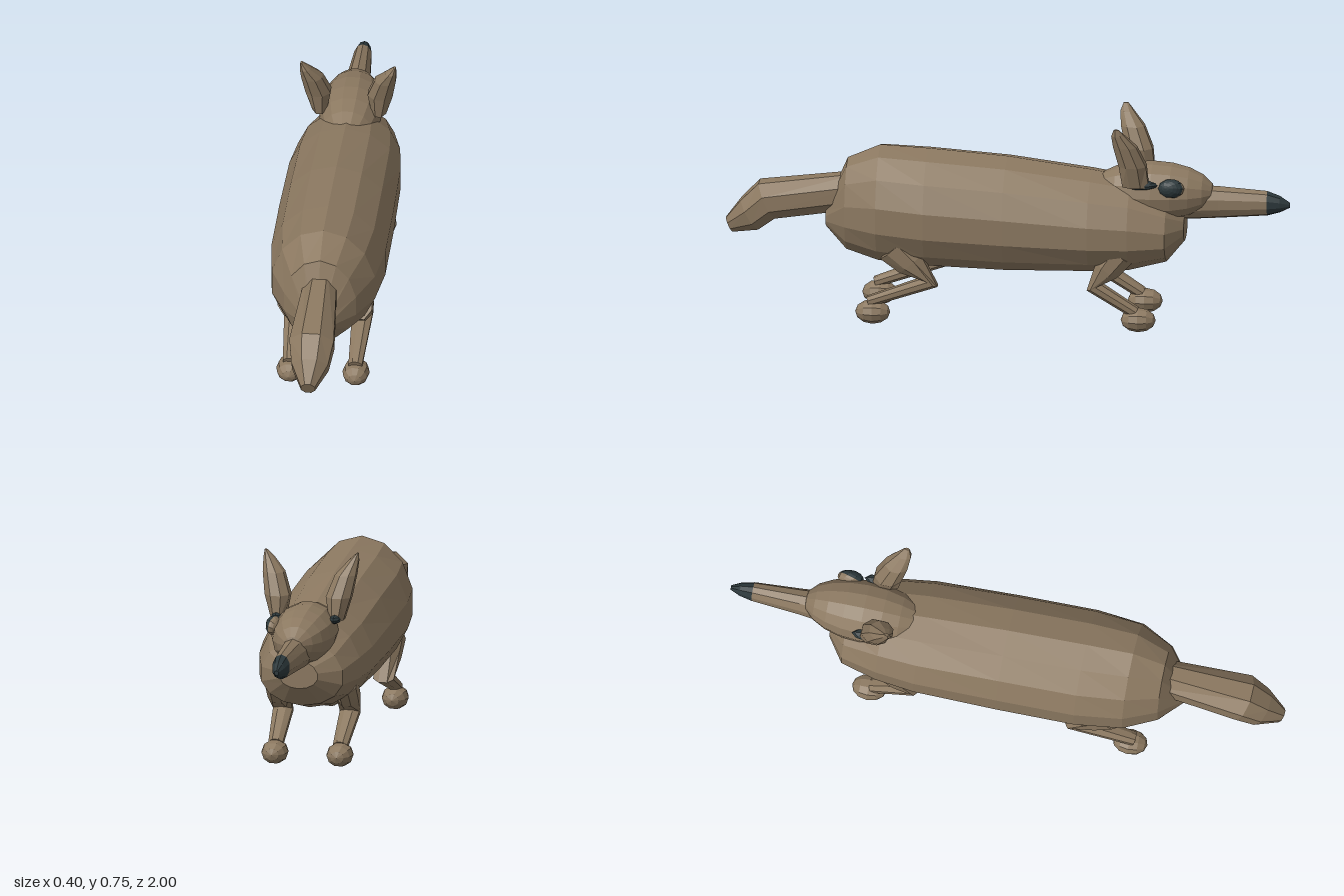
import * as THREE from 'three';

const flat = (name, color) => new THREE.MeshStandardMaterial({ name, color, flatShading: true });

// Skin over elliptical rings [x, y, z, halfWidth, halfHeight, tilt]; tilt swings the height axis from +y to +z.
// low < 1 makes the lower half shallower than the upper half.
function loft(rings, n, mirror = 1, low = 1) {
  const pos = [], idx = [];
  for (const [x, y, z, w, h, a = 0] of rings) {
    for (let i = 0; i < n; i++) {
      const t = ((i + 0.5) / n) * Math.PI * 2;
      let s = Math.sin(t);
      const k = s < 0 ? s * low : s * (2 - low);
      pos.push(mirror * (x + w * Math.cos(t)), y + h * k * Math.cos(a), z + h * k * Math.sin(a));
    }
  }
  const last = rings.length - 1, c0 = pos.length / 3;
  for (const [x, y, z] of [rings[0], rings[last]]) pos.push(mirror * x, y, z);
  for (let i = 0; i < n; i++) {
    const j = (i + 1) % n;
    for (let r = 0; r < last; r++) {
      const a = r * n + i, b = r * n + j;
      idx.push(a, b, a + n, b, b + n, a + n);
    }
    idx.push(c0, j, i, c0 + 1, last * n + i, last * n + j);
  }
  // Turn the faces outward by the sign of the enclosed volume
  const p = k => new THREE.Vector3().fromArray(pos, k * 3);
  let vol = 0;
  for (let i = 0; i < idx.length; i += 3) vol += p(idx[i]).dot(p(idx[i + 1]).cross(p(idx[i + 2])));
  if (vol < 0) idx.reverse();
  const g = new THREE.BufferGeometry();
  g.setAttribute('position', new THREE.Float32BufferAttribute(pos, 3));
  g.setIndex(idx);
  const out = g.toNonIndexed();
  out.computeVertexNormals();
  return out;
}

export function createModel() {
  const group = new THREE.Group();
  const fur = flat('fur brown', 0x8b7860);
  const dark = flat('dark slate', 0x2c383b);

  const add = (name, geo, mat, at, size) => {
    const m = new THREE.Mesh(geo, mat);
    m.name = name;
    if (at) m.position.set(...at);
    if (size) m.scale.set(...size);
    group.add(m);
    return m;
  };
  const ball = (w = 10, h = 8) => new THREE.SphereGeometry(1, w, h);

  // Body: z, bottom, top, half width
  const body = [
    [0.64, 0.32, 0.40, 0.045], [0.565, 0.24, 0.57, 0.13], [0.45, 0.207, 0.62, 0.187],
    [0.28, 0.195, 0.612, 0.207], [0, 0.188, 0.592, 0.207], [-0.3, 0.195, 0.553, 0.202],
    [-0.44, 0.203, 0.53, 0.185], [-0.57, 0.237, 0.47, 0.15], [-0.63, 0.31, 0.41, 0.07],
  ];
  add('body', loft(body.map(([z, b, t, w]) =>
    [0, b + (t - b) * 0.44, z, w, (t - b) / 2 * 1.015]), 14, 1, 0.88), fur);

  // Tail with a drooping end
  add('tail', loft([
    [0, 0.455, 0.52, 0.06, 0.07, 0.1], [0, 0.41, 0.85, 0.085, 0.075, 0.43],
    [0, 0.355, 0.912, 0.07, 0.066, 0.53], [0, 0.312, 0.985, 0.027, 0.03, 0.43],
  ], 8), fur);

  // Head, muzzle and nose
  add('head', ball(14, 10).rotateX(Math.PI / 2), fur, [0, 0.485, -0.515], [0.112, 0.106, 0.22]);
  add('muzzle', loft([
    [0, 0.455, -0.55, 0.065, 0.065], [0, 0.45, -0.65, 0.055, 0.064],
    [0, 0.451, -0.75, 0.044, 0.058], [0, 0.452, -0.92, 0.032, 0.045],
  ], 10), fur);
  add('nose', loft([
    [0, 0.452, -0.92, 0.032, 0.045], [0, 0.45, -0.965, 0.023, 0.03], [0, 0.447, -1, 0.008, 0.009],
  ], 10), dark);

  // Single bulging eye: dark outer half, fur-coloured inner half
  const eye = new THREE.Group();
  eye.name = 'eye';
  for (const [name, start, mat] of [['eyeball', 0, dark], ['eyelid', Math.PI / 2, fur]]) {
    const m = new THREE.Mesh(new THREE.SphereGeometry(0.036, 10, 5, 0, Math.PI * 2, start, Math.PI / 2), mat);
    m.name = name;
    eye.add(m);
  }
  eye.quaternion.setFromUnitVectors(new THREE.Vector3(0, 1, 0), new THREE.Vector3(0.85, 0.2, 0.4).normalize());
  const eyeSocket = new THREE.Group();
  eyeSocket.add(eye);
  eyeSocket.scale.set(0.75, 0.95, 1.3);
  eyeSocket.position.set(0.098, 0.525, -0.59);
  group.add(eyeSocket);

  // Paired parts
  for (const [side, s] of [['left', 1], ['right', -1]]) {
    add(side + 'Ear', loft([
      [0.105, 0.53, -0.465, 0.028, 0.05, 1.57], [0.11, 0.61, -0.455, 0.048, 0.052, 1.57],
      [0.13, 0.685, -0.43, 0.04, 0.044, 1.57], [0.152, 0.73, -0.408, 0.02, 0.026, 1.57],
      [0.165, 0.756, -0.402, 0.004, 0.009, 1.57],
    ], 8, s), fur);
    add(side + 'EarHollow', ball(8, 6), dark, [s * 0.105, 0.537, -0.48], [0.022, 0.018, 0.062]);

    add(side + 'HindLeg', loft([
      [0.125, 0.285, 0.39, 0.045, 0.065, 2.3], [0.125, 0.23, 0.33, 0.043, 0.055, 2.3],
      [0.12, 0.162, 0.257, 0.04, 0.03, 0.96], [0.116, 0.08, 0.48, 0.026, 0.02, 0.33],
    ], 8, s), fur);
    add(side + 'FrontLeg', loft([
      [0.125, 0.29, -0.41, 0.042, 0.06, -2.23], [0.125, 0.23, -0.365, 0.042, 0.05, -2.23],
      [0.12, 0.163, -0.318, 0.038, 0.029, -1.1], [0.116, 0.07, -0.465, 0.028, 0.022, -0.53],
    ], 8, s), fur);
    for (const [name, z] of [['HindPaw', 0.465], ['FrontPaw', -0.475]])
      add(side + name, ball(10, 6).rotateX(Math.PI / 2), fur, [s * 0.117, 0.043, z], [0.048, 0.043, 0.062]);
  }
  return group;
}
